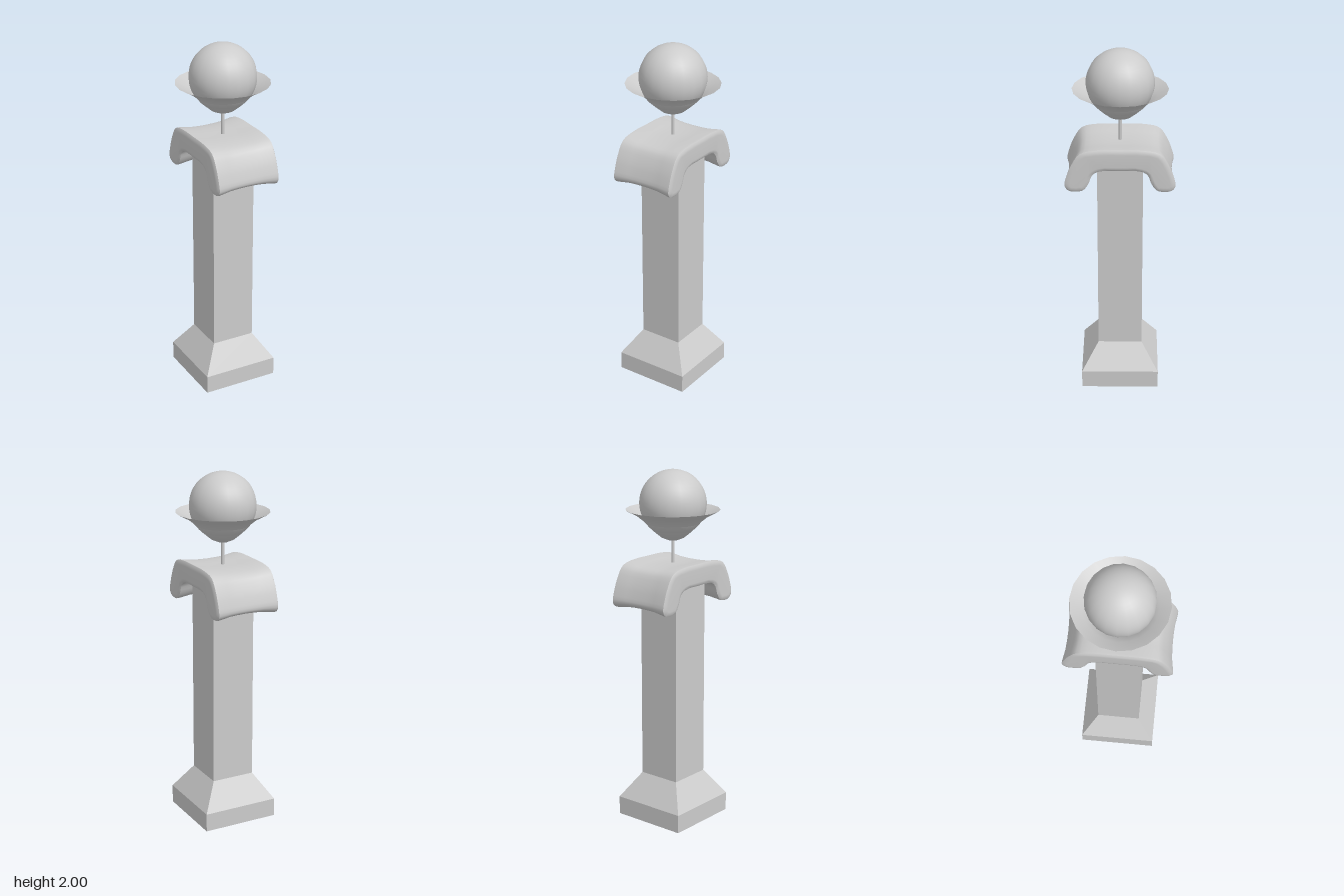
import * as THREE from 'three';
import { toCreasedNormals } from 'three/addons/utils/BufferGeometryUtils.js';

const V2 = (x, y) => new THREE.Vector2(x, y);

// Closed side outline of the scrolled capital, as [z, y], from its right half
function capitalOutline() {
  const half = [[0.13, 1.498], [0.215, 1.478], [0.26, 1.415], [0.288, 1.345], [0.299, 1.29],
    [0.28, 1.262], [0.24, 1.255], [0.2, 1.263], [0.17, 1.302], [0.15, 1.352], [0.115, 1.375]];
  const left = half.map(([z, y]) => [-z, y]).reverse();
  const points = [[0, 1.5], ...half, [0, 1.38], ...left].map(([z, y]) => new THREE.Vector3(z, y, 0));
  return new THREE.CatmullRomCurve3(points, true).getPoints(72).slice(0, -1).map((p) => V2(p.x, p.y));
}

// Sections along x: the outline is pulled inwards at the waist and at the rounded ends
function capitalGeometry() {
  const outline = capitalOutline();
  const n = outline.length;
  const inward = outline.map((p, i) => {
    const t = outline[(i + 1) % n].clone().sub(outline[(i + n - 1) % n]).normalize();
    return V2(t.y, -t.x); // the outline runs clockwise, so its right side is inside
  });
  const halfSections = [[0.188, 0.026], [0.187, 0.012], [0.18, 0], [0.168, 0], [0.1, 0.011], [0.05, 0.014]];
  const sections = [...halfSections.map(([x, d]) => [-x, d]), [0, 0.015], ...halfSections.slice().reverse()];
  const positions = [];
  const index = [];
  sections.forEach(([x, d], s) => {
    outline.forEach((p, i) => {
      const q = p.clone().addScaledVector(inward[i], inward[i].dot(V2(p.x, p.y - 1.38)) < 0 ? d : d * 0.8);
      positions.push(x, q.y, q.x);
      if (s === 0) return;
      const a = (s - 1) * n + i, b = (s - 1) * n + (i + 1) % n;
      index.push(a, b, a + n, b, b + n, a + n);
    });
  });
  // Flat end faces
  const last = (sections.length - 1) * n;
  const ring = outline.map((_, i) => V2(positions[i * 3 + 2], positions[i * 3 + 1]));
  for (const [a, b, c] of THREE.ShapeUtils.triangulateShape(ring, [])) {
    const area = (ring[b].x - ring[a].x) * (ring[c].y - ring[a].y) - (ring[b].y - ring[a].y) * (ring[c].x - ring[a].x);
    const [p, q] = area > 0 ? [b, c] : [c, b];
    index.push(a, p, q, last + a, last + q, last + p);
  }
  const geometry = new THREE.BufferGeometry();
  geometry.setAttribute('position', new THREE.Float32BufferAttribute(positions, 3));
  geometry.setIndex(index);
  return toCreasedNormals(geometry, 0.7);
}

export function createModel() {
  const group = new THREE.Group();
  const smooth = new THREE.MeshStandardMaterial({ color: 0xcccccc });
  const flat = new THREE.MeshStandardMaterial({ color: 0xcccccc, flatShading: true });
  const open = new THREE.MeshStandardMaterial({ color: 0xcccccc, side: THREE.DoubleSide });

  const add = (name, geometry, material, y = 0) => {
    const mesh = new THREE.Mesh(geometry, material);
    mesh.name = name;
    mesh.position.y = y;
    group.add(mesh);
  };

  // Square pedestal
  add('plinth', new THREE.BoxGeometry(0.44, 0.105, 0.44), flat, 0.0525);
  const taper = new THREE.CylinderGeometry(0.125 * Math.SQRT2, 0.22 * Math.SQRT2, 0.147, 4);
  add('plinthTaper', taper.rotateY(Math.PI / 4), flat, 0.1785);
  add('shaft', new THREE.BoxGeometry(0.25, 1.16, 0.25), flat, 0.83);

  // Capital with two drooping scrolls, front and back
  add('capital', capitalGeometry(), smooth);

  // Ball resting in a flared dish on a thin pin
  add('pin', new THREE.CylinderGeometry(0.009, 0.009, 0.18, 12), smooth, 1.54);
  const dish = [[0, 1.61], [0.03, 1.613], [0.065, 1.628], [0.11, 1.665], [0.16, 1.718], [0.2, 1.75], [0.26, 1.782]];
  const dishGeometry = new THREE.LatheGeometry(dish.map(([r, y]) => V2(r, y)), 20);
  add('dish', dishGeometry.rotateY(Math.PI / 2), open);
  add('ball', new THREE.SphereGeometry(0.185, 20, 24), smooth, 1.815);

  return group;
}
